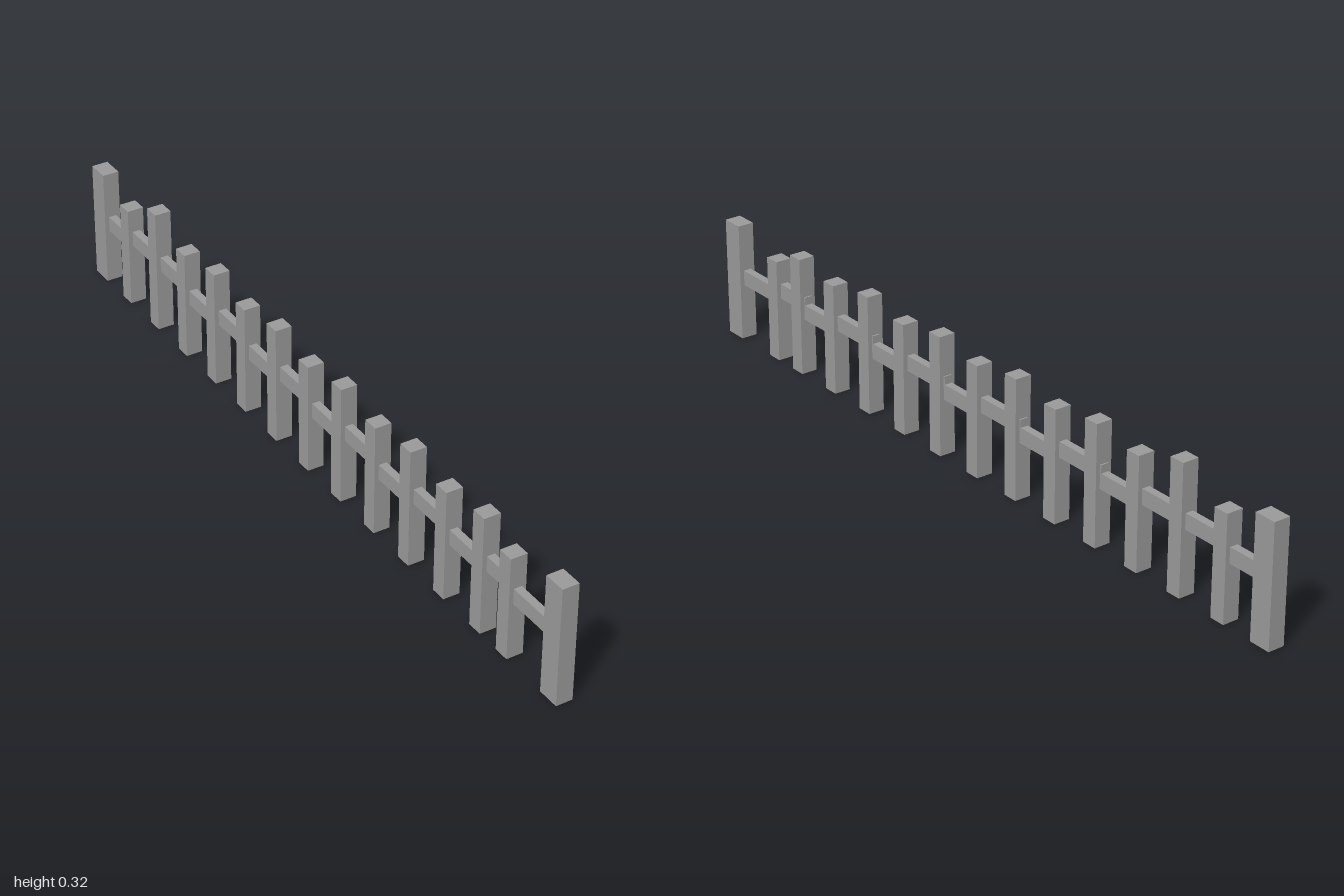
import * as THREE from 'three';

const material = new THREE.MeshStandardMaterial({ color: 0x999999, flatShading: true, side: THREE.DoubleSide });

// Upright standing on the ground, open underneath
function makePost(name, z, height, depth) {
  const geometry = new THREE.BoxGeometry(0.042, height, depth);
  const index = Array.from(geometry.index.array);
  index.splice(18, 6); // drop the bottom face
  geometry.setIndex(index);
  geometry.clearGroups();
  const post = new THREE.Mesh(geometry, material);
  post.name = name;
  post.position.set(0, height / 2, z);
  return post;
}

// Thin bar running along z between two posts
function makeRail(zStart, zEnd, y) {
  const rail = new THREE.Mesh(new THREE.BoxGeometry(0.02, 0.039, zStart - zEnd), material);
  rail.name = 'rail';
  rail.position.set(0, y, (zStart + zEnd) / 2);
  return rail;
}

export function createModel() {
  const fence = new THREE.Group();
  fence.name = 'fence';

  // Thick end posts
  fence.add(makePost('frontEndPost', 0.9715, 0.302, 0.057));
  fence.add(makePost('backEndPost', -0.9715, 0.302, 0.057));

  // Pickets: [z, height], alternating tall and short with odd ones near the ends
  const pickets = [[0.8, 0.262]];
  for (let i = 0; i < 10; i++) pickets.push([0.7 - i * 0.14, i % 2 ? 0.282 : 0.302]);
  pickets.push([-0.7, 0.322], [-0.84, 0.262]);
  for (const [z, height] of pickets) fence.add(makePost('picket', z, height, 0.04));

  // Rails alternate between a low and a high level, picket to picket
  const stops = [0.96, ...pickets.map(([z]) => z), -0.96];
  for (let i = 0; i < stops.length - 1; i++) {
    const high = (i % 2 === 1 && i < 13) || i === 12;
    // high rails poke slightly through the taller pickets
    const overlap = high && i < 11 ? 0.024 : 0;
    fence.add(makeRail(stops[i], stops[i + 1] - overlap, high ? 0.182 : 0.162));
  }
  return fence;
}
